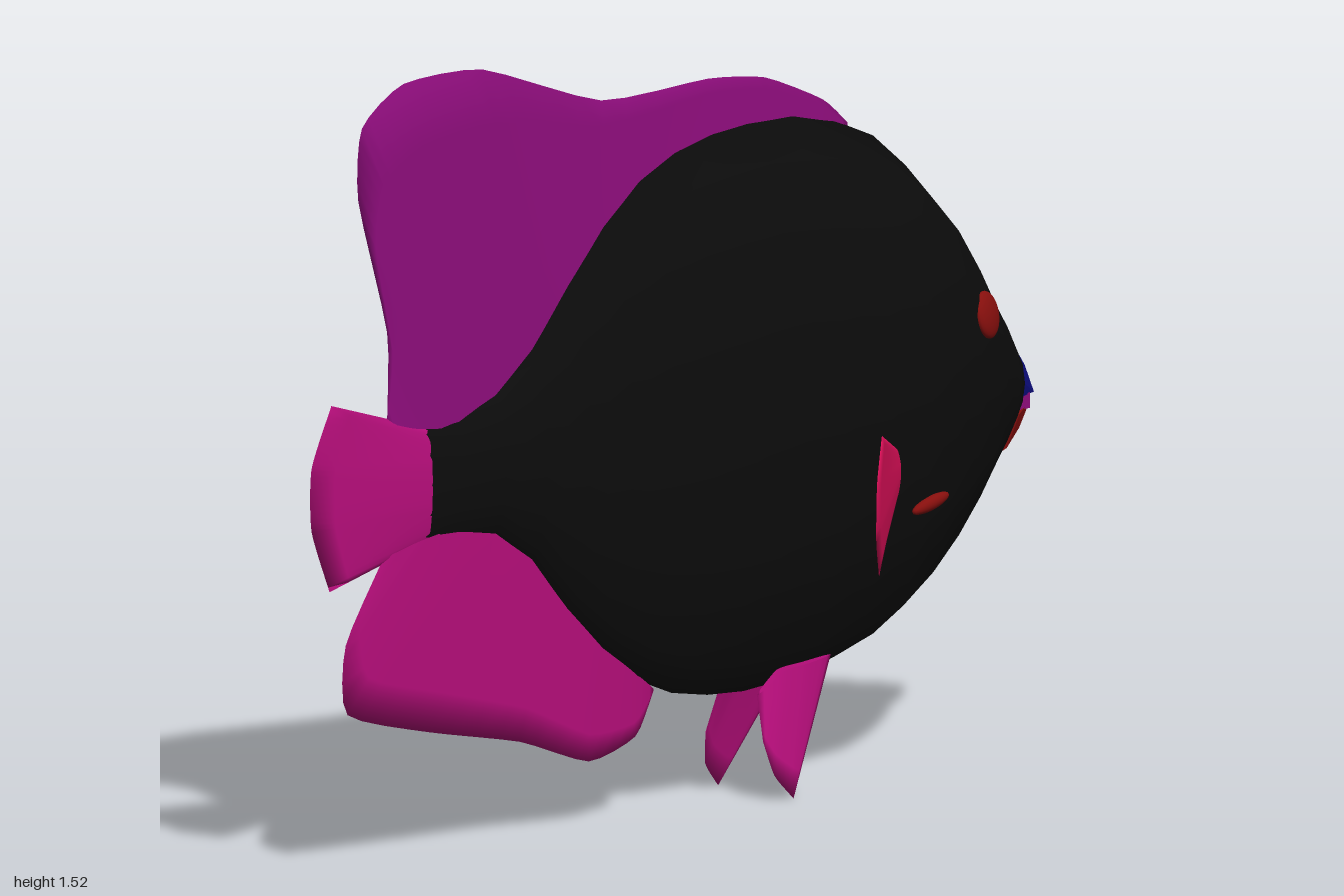
import * as THREE from 'three';
import { mergeVertices } from 'three/addons/utils/BufferGeometryUtils.js';
import { ConvexGeometry } from 'three/addons/geometries/ConvexGeometry.js';

const material = (name, color, side = THREE.FrontSide) => {
  const m = new THREE.MeshStandardMaterial({ color, side });
  m.name = name;
  return m;
};

function mesh(name, geometry, mat) {
  const m = new THREE.Mesh(geometry, mat);
  m.name = name;
  return m;
}

// Body stations from tail to snout: [z, top, bottom, half width]
const STATIONS = [
  [0.727, 0.74, 0.73, 0.001], [0.72, 0.79, 0.67, 0.008], [0.69, 0.85, 0.62, 0.015],
  [0.6, 0.86, 0.62, 0.025], [0.5, 0.895, 0.605, 0.04], [0.4, 0.97, 0.54, 0.055],
  [0.3, 1.08, 0.43, 0.073], [0.2, 1.18, 0.34, 0.091], [0.1, 1.25, 0.275, 0.109],
  [0, 1.29, 0.235, 0.126], [-0.1, 1.31, 0.217, 0.137], [-0.2, 1.316, 0.21, 0.146],
  [-0.33, 1.31, 0.217, 0.153], [-0.45, 1.28, 0.24, 0.157], [-0.56, 1.235, 0.27, 0.158],
  [-0.65, 1.165, 0.33, 0.146], [-0.73, 1.08, 0.4, 0.13], [-0.8, 0.98, 0.475, 0.111],
  [-0.85, 0.905, 0.53, 0.087], [-0.9, 0.835, 0.585, 0.066], [-0.935, 0.78, 0.635, 0.045],
  [-0.94, 0.71, 0.7, 0.001],
];

// Twelve-sided oval sections joined along z
function bodyGeometry() {
  const sides = 12, pos = [], index = [];
  for (const [z, top, bottom, w] of STATIONS) {
    for (let j = 0; j < sides; j++) {
      const a = (j / sides) * Math.PI * 2;
      pos.push(Math.cos(a) * w, (top + bottom) / 2 + Math.sin(a) * (top - bottom) / 2, z);
    }
  }
  for (let i = 0; i < STATIONS.length - 1; i++) {
    for (let j = 0; j < sides; j++) {
      const k = (j + 1) % sides;
      const a = i * sides + j, b = i * sides + k, c = a + sides, d = b + sides;
      index.push(a, c, b, b, c, d);
    }
  }
  const g = new THREE.BufferGeometry();
  g.setAttribute('position', new THREE.Float32BufferAttribute(pos, 3));
  g.setIndex(index);
  g.computeVertexNormals();
  return g;
}

// Thin padded fin stretched between a root curve and an outer curve,
// thickest at the root and pinched together along its free edges
function finGeometry(root, outer, thickness, offset = new THREE.Vector3(1, 0, 0), nu = 28, nv = 5) {
  const curve = pts => new THREE.CatmullRomCurve3(
    pts.map(p => new THREE.Vector3(...p)), false, 'catmullrom', 0.3);
  const r = curve(root), o = curve(outer), pos = [], index = [];
  for (const face of [1, -1]) {
    const start = pos.length / 3;
    for (let i = 0; i <= nu; i++) {
      const u = i / nu, a = r.getPoint(u), b = o.getPoint(u);
      const pad = i === 0 || i === nu ? 0 : Math.sqrt(Math.sin(Math.PI * u));
      for (let j = 0; j <= nv; j++) {
        const v = j / nv;
        const p = a.clone().lerp(b, v).addScaledVector(offset, face * thickness * pad * (1 - v));
        pos.push(p.x, p.y, p.z);
      }
    }
    for (let i = 0; i < nu; i++) {
      for (let j = 0; j < nv; j++) {
        const a = start + i * (nv + 1) + j, b = a + 1, c = a + nv + 1, d = c + 1;
        if (face > 0) index.push(a, b, c, b, d, c);
        else index.push(a, c, b, b, c, d);
      }
    }
  }
  let g = new THREE.BufferGeometry();
  g.setAttribute('position', new THREE.Float32BufferAttribute(pos, 3));
  g.setIndex(index);
  g = mergeVertices(g, 1e-5);
  g.computeVertexNormals();
  return g;
}

// Side outlines are written as [z, y] on the middle plane
const middle = pts => pts.map(([z, y]) => [0, y, z]);

// Convex solid mirrored across the middle plane
const mirroredHull = pts => new ConvexGeometry(pts.flatMap(([x, y, z]) =>
  x ? [new THREE.Vector3(x, y, z), new THREE.Vector3(-x, y, z)] : [new THREE.Vector3(0, y, z)]));

export function createModel() {
  const fish = new THREE.Group();
  fish.name = 'fish';

  const black = material('body black', 0x0c0c0c);
  const purple = material('dorsal purple', 0x8e0d7c, THREE.DoubleSide);
  const magenta = material('fin magenta', 0xb80e7c, THREE.DoubleSide);
  const crimson = material('pectoral crimson', 0xdc0f58, THREE.DoubleSide);
  const red = material('dark red', 0x860f0d);
  const blue = material('lip blue', 0x0c0c7c);

  fish.add(mesh('body', bodyGeometry(), black));

  // Fins on the middle plane
  fish.add(mesh('dorsalFin', finGeometry(
    middle([[0.79, 0.87], [0.72, 0.85], [0.64, 0.84], [0.56, 0.85], [0.47, 0.88], [0.36, 0.98],
      [0.17, 1.16], [-0.08, 1.26], [-0.24, 1.28], [-0.4, 1.26], [-0.49, 1.24]]),
    middle([[0.79, 0.87], [0.79, 1.045], [0.87, 1.31], [0.86, 1.45], [0.745, 1.52], [0.525, 1.517],
      [0.195, 1.41], [-0.1, 1.41], [-0.26, 1.39], [-0.42, 1.325], [-0.49, 1.27]]),
    0.012, undefined, 40), purple));

  fish.add(mesh('analFin', finGeometry(
    middle([[0.8, 0.61], [0.71, 0.63], [0.61, 0.64], [0.47, 0.61], [0.35, 0.52], [0.23, 0.4],
      [0.12, 0.3], [0.05, 0.25]]),
    middle([[0.8, 0.61], [0.905, 0.455], [0.9, 0.32], [0.675, 0.255], [0.42, 0.2], [0.23, 0.135],
      [0.1, 0.165], [0.05, 0.245]]),
    0.012), magenta));

  fish.add(mesh('tailFin', finGeometry(
    middle([[0.68, 0.845], [0.68, 0.78], [0.68, 0.69], [0.68, 0.625]]),
    middle([[0.945, 0.925], [1, 0.81], [1, 0.69], [0.95, 0.565]]),
    0.016), magenta));

  // Paired parts
  for (const s of [1, -1]) {
    const side = s > 0 ? 'left' : 'right';
    const flip = pts => pts.map(([x, y, z]) => [s * x, y, z]);

    fish.add(mesh(side + 'PectoralFin', finGeometry(
      flip([[0.14, 0.66, -0.475], [0.14, 0.63, -0.475], [0.14, 0.6, -0.475], [0.14, 0.565, -0.475]]),
      flip([[0.3, 0.735, -0.265], [0.325, 0.65, -0.225], [0.32, 0.54, -0.228], [0.255, 0.45, -0.305]]),
      0.01, new THREE.Vector3(0.8 * s, 0, -0.6), 20), crimson));

    fish.add(mesh(side + 'PelvicFin', finGeometry(
      flip([[0.045, 0.26, -0.395], [0.05, 0.255, -0.32], [0.05, 0.25, -0.25], [0.05, 0.21, -0.185]]),
      flip([[0.098, 0.01, -0.235], [0.097, 0.02, -0.225], [0.09, 0.06, -0.19], [0.075, 0.125, -0.175]]),
      0.01, undefined, 12), magenta));

    const eye = mesh(side + 'Eye', new THREE.SphereGeometry(1, 20, 14), red);
    eye.scale.set(0.016, 0.046, 0.043);
    eye.position.set(s * 0.103, 0.872, -0.767);
    eye.rotation.set(0, s * 0.34, s * 0.2);
    fish.add(eye);

    const gill = mesh(side + 'GillMark', new THREE.SphereGeometry(1, 16, 10), red);
    gill.scale.set(0.013, 0.014, 0.054);
    gill.position.set(s * 0.141, 0.54, -0.57);
    gill.rotation.set(0.2, s * 0.05, -s * 0.25);
    fish.add(gill);
  }

  // Mouth
  fish.add(mesh('upperLip', mirroredHull([
    [0, 0.787, -0.938], [0.03, 0.76, -0.935], [0.045, 0.71, -0.93], [0.045, 0.682, -0.925],
    [0.024, 0.682, -0.982], [0, 0.682, -1], [0.016, 0.735, -0.965]]), blue));
  fish.add(mesh('lowerLip', mirroredHull([
    [0, 0.674, -0.99], [0.024, 0.668, -0.972], [0.045, 0.65, -0.92], [0.03, 0.585, -0.9],
    [0, 0.563, -0.89], [0.03, 0.62, -0.935], [0, 0.612, -0.94]]), red));
  const mouth = mesh('mouthInside', new THREE.BoxGeometry(0.07, 0.03, 0.05), purple);
  mouth.position.set(0, 0.67, -0.935);
  fish.add(mouth);

  return fish;
}
